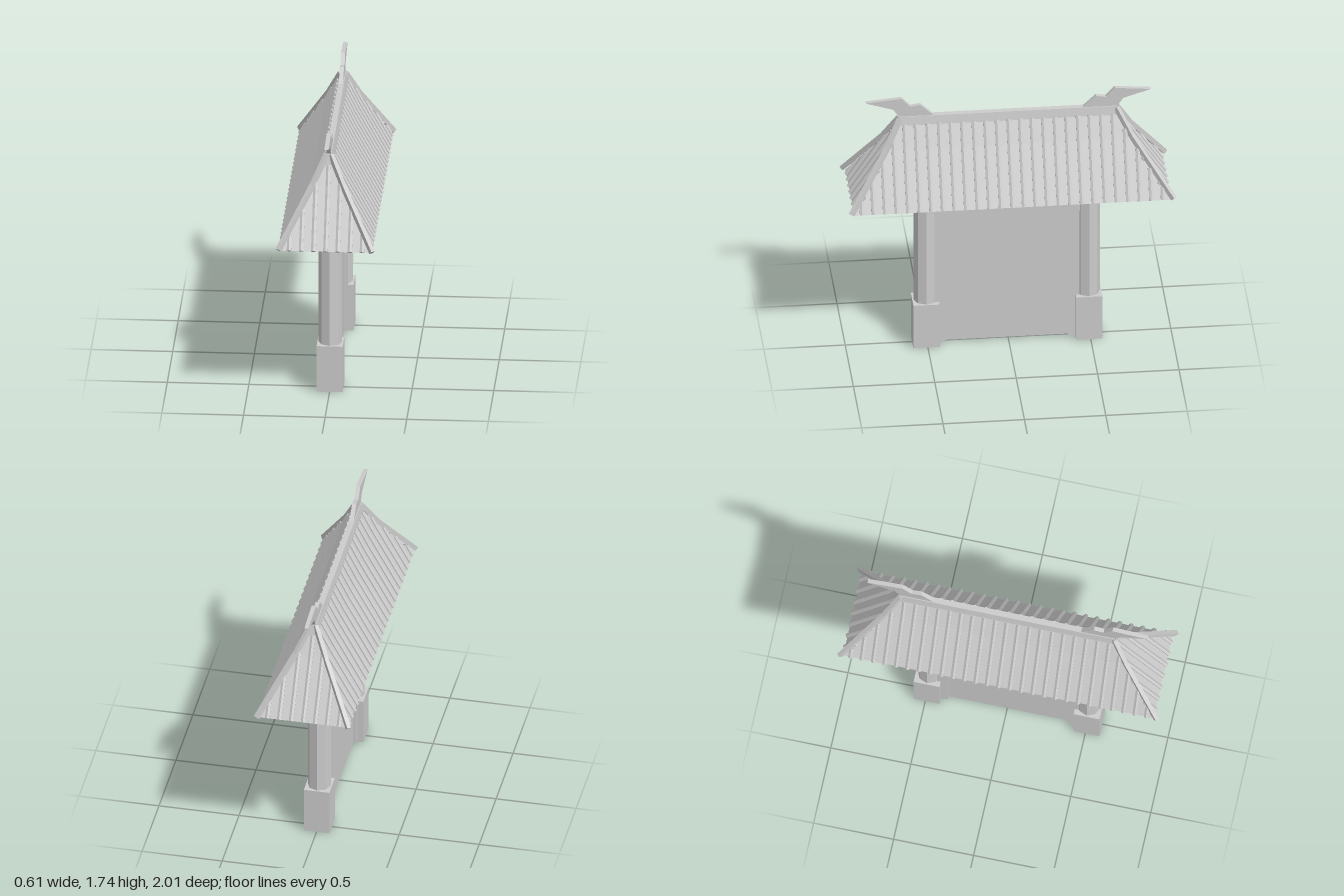
import * as THREE from 'three';

const mat = new THREE.MeshStandardMaterial({ color: 0xcccccc, flatShading: true, side: THREE.DoubleSide });

// roof rings from eave to ridge: [half width, height, half length]
const ROOF = [[0.28, 1.08, 0.97], [0.095, 1.42, 0.745], [0.025, 1.56, 0.66]];

function add(parent, geometry, name, x = 0, y = 0, z = 0) {
  const mesh = new THREE.Mesh(geometry, mat);
  mesh.name = name;
  mesh.position.set(x, y, z);
  parent.add(mesh);
  return mesh;
}

// straight bar between two points, round (sides > 4) or square
function bar(parent, a, b, w, h, sides, name) {
  const len = a.distanceTo(b);
  const g = sides > 4
    ? new THREE.CylinderGeometry(w / 2, w / 2, len, sides).rotateX(Math.PI / 2)
    : new THREE.BoxGeometry(w, h, len);
  const mesh = add(parent, g, name);
  mesh.position.copy(a).add(b).multiplyScalar(0.5);
  mesh.lookAt(b);
  return mesh;
}

// closed solid lofted through rings of corner points
function loft(rings) {
  const n = rings[0].length, pos = rings.flat(2), idx = [];
  for (let r = 0; r < rings.length - 1; r++) {
    for (let i = 0; i < n; i++) {
      const a = r * n + i, b = r * n + (i + 1) % n;
      idx.push(a, a + n, b, b, a + n, b + n);
    }
  }
  const top = (rings.length - 1) * n;
  for (let i = 1; i < n - 1; i++) idx.push(0, i, i + 1, top, top + i + 1, top + i);
  const g = new THREE.BufferGeometry();
  g.setAttribute('position', new THREE.Float32BufferAttribute(pos, 3));
  g.setIndex(idx);
  const flat = g.toNonIndexed();
  flat.computeVertexNormals();
  return flat;
}

// rectangular ring at height y, between z0 and z1
const ring = (x, y, z0, z1) => [[-x, y, z0], [x, y, z0], [x, y, z1], [-x, y, z1]];

// roof rib: climbs one slope until it meets the ridge or a hip
// across: 2 for ribs on the long sides, 0 for ribs on the ends
function rib(parent, offset, sign, across) {
  const out = 2 - across;
  const point = (p) => {
    const v = new THREE.Vector3(0, p[1], 0);
    v.setComponent(across, offset);
    v.setComponent(out, sign * p[out]);
    return v;
  };
  for (let i = 0; i < 2; i++) {
    const a = ROOF[i], b = ROOF[i + 1].slice();
    if (Math.abs(offset) >= a[across]) break;
    const t = Math.min(1, (a[across] - Math.abs(offset)) / (a[across] - b[across]));
    const end = a.map((v, k) => v + (b[k] - v) * t);
    bar(parent, point(a), point(end), 0.032, 0.032, 6, 'roofRib');
  }
}

export function createModel() {
  const model = new THREE.Group();
  model.name = 'gate';

  // wall: recessed panel inside a frame
  const wall = new THREE.Group();
  wall.name = 'wall';
  model.add(wall);
  add(wall, new THREE.BoxGeometry(0.05, 0.96, 0.9), 'panel', 0, 0.495, 0.01);
  add(wall, new THREE.BoxGeometry(0.09, 0.08, 0.9), 'frameTop', 0, 0.937, 0.01);
  add(wall, new THREE.BoxGeometry(0.09, 0.96, 0.07), 'frameSide', 0, 0.495, 0.425);
  add(wall, new THREE.BoxGeometry(0.09, 0.96, 0.07), 'frameSide', 0, 0.495, -0.4);
  add(wall, new THREE.BoxGeometry(0.12, 0.12, 0.86), 'lintel', 0, 1.03, 0);

  // posts with square feet and flared capitals
  for (const s of [1, -1]) {
    const z = s * 0.5 + 0.008;
    const post = new THREE.Group();
    post.name = 'post';
    model.add(post);
    add(post, new THREE.BoxGeometry(0.16, 0.3, 0.162), 'foot', 0, 0.15, z);
    add(post, new THREE.CylinderGeometry(0.072, 0.072, 0.7, 8), 'shaft', 0, 0.64, z);
    const span = (a, b) => s > 0 ? [a, b] : [-b, -a];
    add(post, loft([
      ring(0.083, 0.97, ...span(0.4, 0.59)),
      ring(0.092, 1.09, ...span(0.425, 0.645)),
    ]), 'capital');
  }

  // roof body
  const roof = new THREE.Group();
  roof.name = 'roof';
  model.add(roof);
  add(roof, loft(ROOF.map(([x, y, z]) => ring(x, y, -z, z))), 'roofBody');

  // ribs on both long slopes and both ends
  for (const s of [1, -1]) {
    for (let i = -13; i <= 13; i++) rib(roof, i * 0.0711, s, 2);
    for (let i = -3; i <= 3; i++) rib(roof, i * 0.0745, s, 0);
  }

  // ridge beam
  add(roof, loft([ring(0.032, 1.535, -0.69, 0.69), ring(0.018, 1.61, -0.67, 0.67)]), 'ridge');

  // hip beams running to the four corners
  for (const sx of [1, -1]) {
    for (const sz of [1, -1]) {
      const pts = [[0.287, 1.09, 0.99], [0.094, 1.43, 0.755], [0.014, 1.597, 0.665]]
        .map(([x, y, z]) => new THREE.Vector3(sx * x, y, sz * z));
      bar(roof, pts[0], pts[1], 0.026, 0.03, 4, 'hipBeam');
      bar(roof, pts[1], pts[2], 0.026, 0.03, 4, 'hipBeam');
    }
  }

  // pointed finials at both ridge ends
  const outline = [[0.455, 1.605], [0.67, 1.605], [0.705, 1.66], [0.876, 1.715],
    [0.656, 1.735], [0.6, 1.675], [0.54, 1.685]];
  const shape = new THREE.Shape(outline.map(([x, y]) => new THREE.Vector2(x, y)));
  const horn = new THREE.ExtrudeGeometry(shape, { depth: 0.026, bevelEnabled: false }).translate(0, 0, -0.013);
  for (const s of [1, -1]) add(roof, horn, 'finial').rotation.y = -s * Math.PI / 2;

  return model;
}
